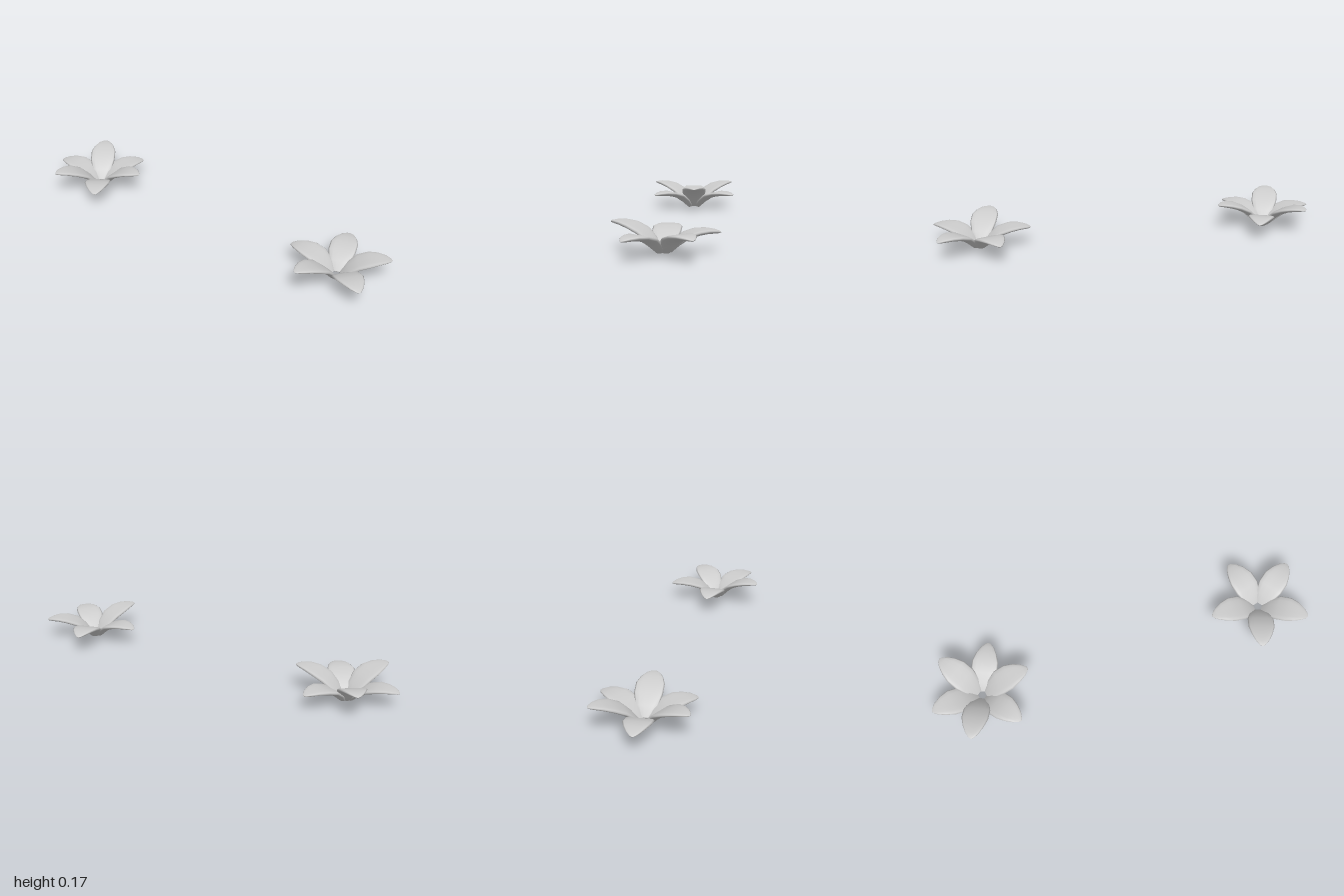
import * as THREE from 'three';

const material = new THREE.MeshStandardMaterial({ color: 0xcccccc });

// Petal stations along its length: radius, height, half width, half thickness
const STATIONS = [
  [0.028, 0.018, 0.002, 0.001],
  [0.03, 0.02, 0.03, 0.013],
  [0.07, 0.06, 0.06, 0.016],
  [0.12, 0.094, 0.077, 0.017],
  [0.18, 0.111, 0.077, 0.016],
  [0.23, 0.115, 0.06, 0.014],
  [0.27, 0.112, 0.038, 0.011],
  [0.295, 0.107, 0.016, 0.006],
  [0.302, 0.105, 0.001, 0.001],
];
const SIDES = 14;

// Thick, slightly cupped petal pointing along +x; lift raises it in proportion to radius
function petalGeometry(lift) {
  const spine = STATIONS.map(([r, y]) => new THREE.Vector2(r, y + lift * r));
  const positions = [];
  const index = [];
  const last = STATIONS.length - 1;
  STATIONS.forEach(([, , w, h], i) => {
    const tangent = spine[Math.min(i + 1, last)].clone().sub(spine[Math.max(i - 1, 0)]).normalize();
    for (let j = 0; j < SIDES; j++) {
      const a = (j / SIDES) * Math.PI * 2;
      const across = Math.cos(a);
      const off = h * Math.sin(a) + 0.12 * w * (across * across - 0.3);
      positions.push(spine[i].x - tangent.y * off, spine[i].y + tangent.x * off, w * across);
      if (i < last) {
        const p = i * SIDES + j;
        const q = i * SIDES + ((j + 1) % SIDES);
        index.push(p, p + SIDES, q, q, p + SIDES, q + SIDES);
      }
    }
  });
  const geometry = new THREE.BufferGeometry();
  geometry.setAttribute('position', new THREE.Float32BufferAttribute(positions, 3));
  geometry.setIndex(index);
  geometry.computeVertexNormals();
  return geometry;
}

// Ring of petals, one per lift value, spread evenly from a start angle
function createFlower(name, lifts, startAngle) {
  const flower = new THREE.Group();
  flower.name = name;
  lifts.forEach((lift, i) => {
    const petal = new THREE.Mesh(petalGeometry(lift), material);
    petal.name = 'petal';
    petal.rotation.y = startAngle + (i / lifts.length) * Math.PI * 2;
    flower.add(petal);
  });
  return flower;
}

export function createModel() {
  const model = new THREE.Group();
  model.name = 'flowers';

  // Six petals, alternately low and raised
  const six = createFlower('sixPetalFlower', [0, 0.19, 0, 0.19, 0, 0.19], Math.PI / 6);
  six.position.set(-0.73, 0, -0.5);

  // Five petals, one raised
  const five = createFlower('fivePetalFlower', [0.04, 0, 0, 0.16, 0], 0);
  five.position.set(0.695, 0.013, 0.505);

  model.add(six, five);
  return model;
}
